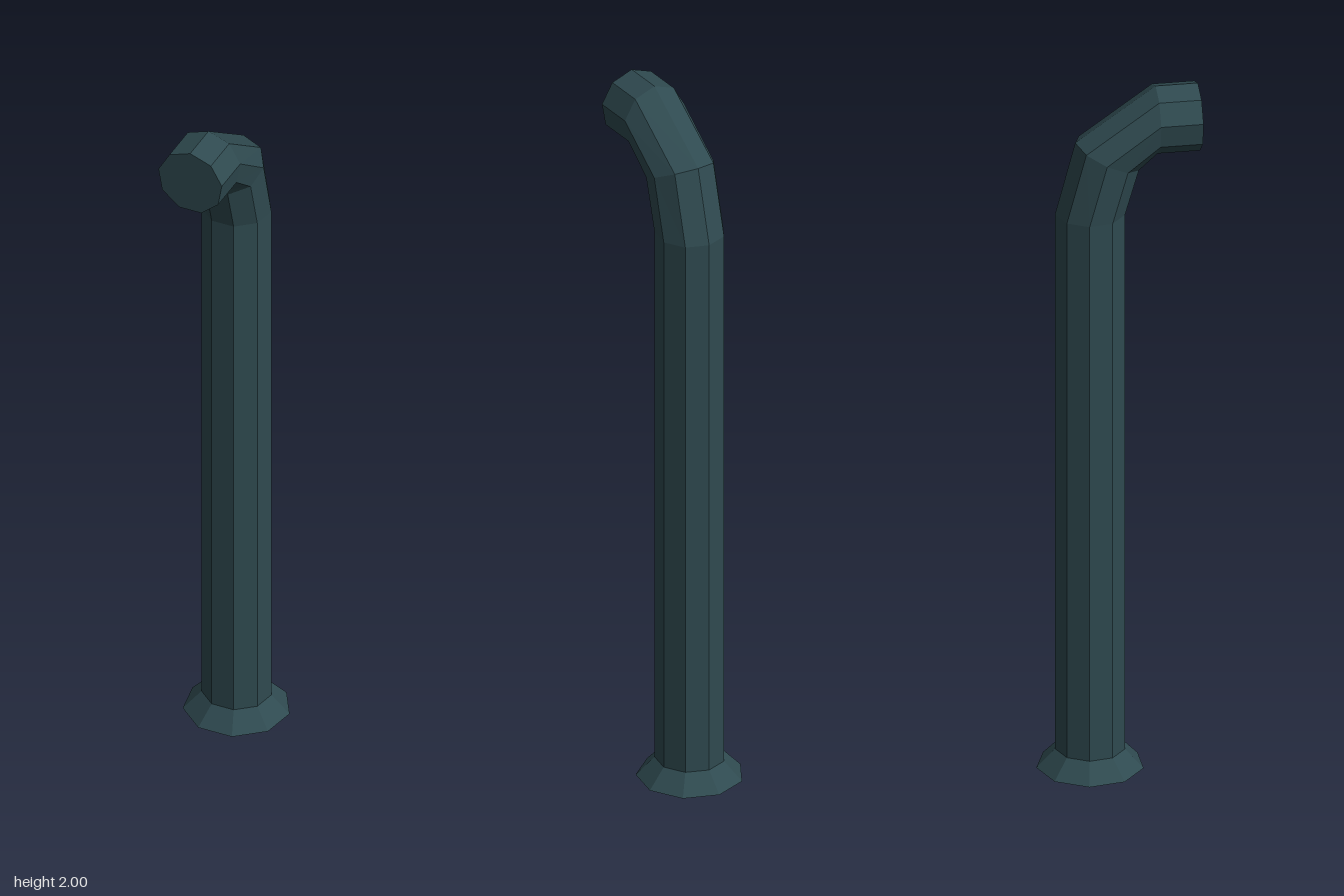
import * as THREE from 'three';

const SIDES = 9;
const R = 0.0955;

// Nine-sided ring in the x = 0 plane's sweep: centre (y, z), radius, tilt towards the front.
// The first corner lies on the outer (back, then top) side of the bend.
function ring(y, z, radius, tilt = 0) {
  const points = [];
  for (let k = 0; k < SIDES; k++) {
    const a = (k / SIDES) * Math.PI * 2;
    const out = radius * Math.cos(a);
    points.push(new THREE.Vector3(radius * Math.sin(a), y + out * Math.sin(tilt), z - out * Math.cos(tilt)));
  }
  return { points, centre: new THREE.Vector3(0, y, z) };
}

// Skin a row of rings, with optional caps at either end
function loft(name, rings, material, capStart, capEnd) {
  const verts = [];
  const tri = (a, b, c) => verts.push(...a, ...b, ...c);
  const last = rings[rings.length - 1];
  for (let k = 0; k < SIDES; k++) {
    const n = (k + 1) % SIDES;
    for (let i = 0; i < rings.length - 1; i++) {
      const lo = rings[i].points, hi = rings[i + 1].points;
      tri(lo[k], hi[k], hi[n]);
      tri(lo[k], hi[n], lo[n]);
    }
    if (capStart) tri(rings[0].centre, rings[0].points[k], rings[0].points[n]);
    if (capEnd) tri(last.centre, last.points[n], last.points[k]);
  }
  const geometry = new THREE.BufferGeometry();
  geometry.setAttribute('position', new THREE.Float32BufferAttribute(verts, 3));
  geometry.computeVertexNormals();
  const mesh = new THREE.Mesh(geometry, material);
  mesh.name = name;
  return mesh;
}

export function createModel() {
  const group = new THREE.Group();
  group.name = 'bentPipe';
  const material = new THREE.MeshStandardMaterial({ color: 0x2f4a50, flatShading: true });

  const foot = ring(0, -0.074, 0.146);
  const collar = ring(0.053, -0.074, R);
  const shoulder = ring(1.64, -0.074, R);
  const elbow = ring(1.807, -0.028, R, 0.44);
  const mouthStart = ring(1.9045, 0.104, R, Math.PI / 2);
  const mouthEnd = ring(1.9045, 0.219, R, Math.PI / 2);

  group.add(
    loft('baseFlange', [foot, collar], material, true, false),
    loft('pipeShaft', [collar, shoulder], material, false, false),
    loft('pipeBend', [shoulder, elbow, mouthStart], material, false, false),
    loft('pipeMouth', [mouthStart, mouthEnd], material, false, true),
  );
  return group;
}
